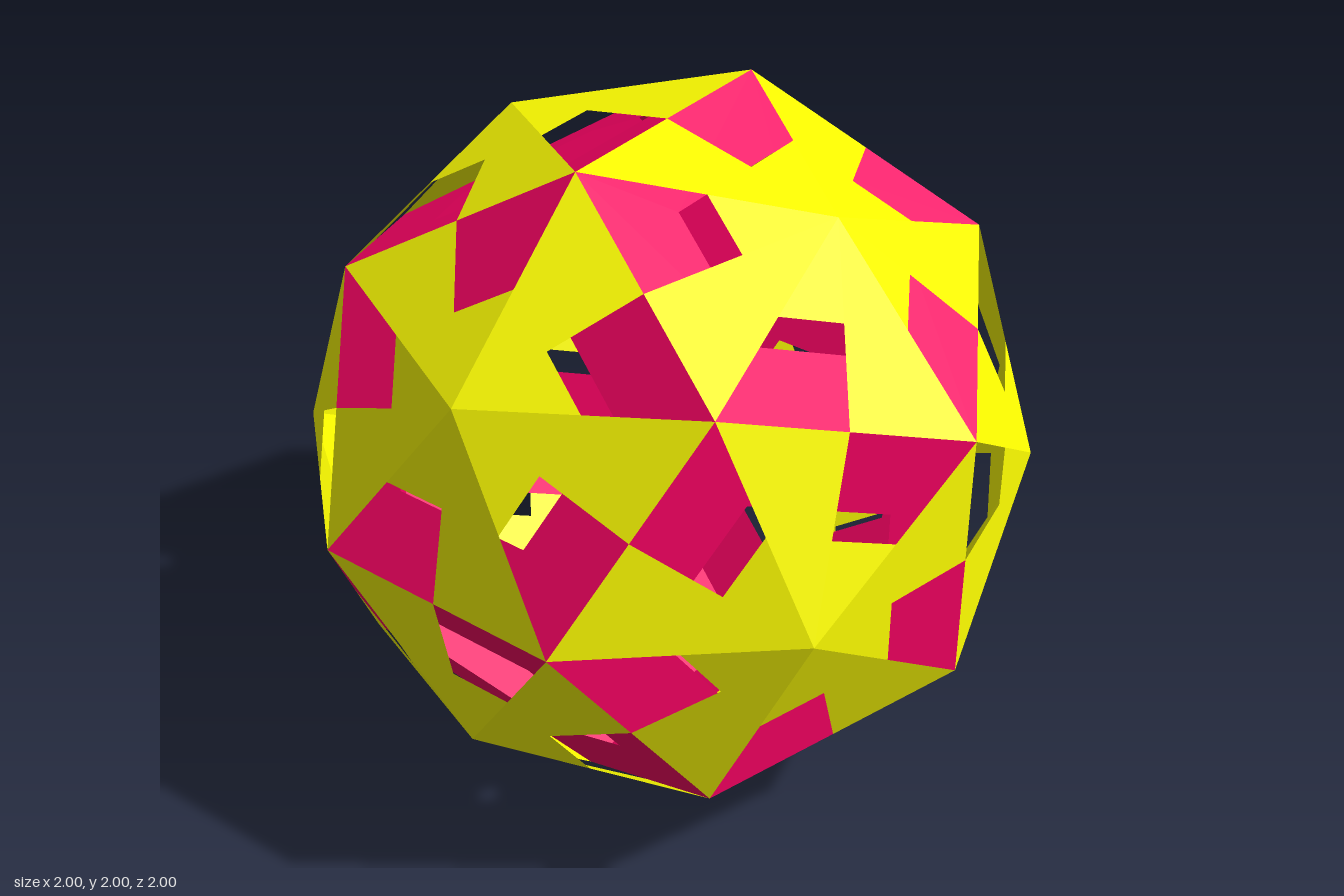
import * as THREE from 'three';

const PHI = (1 + Math.sqrt(5)) / 2;
const APEX_RADIUS = 1.042; // height of the pyramid tips above the centre
const WINDOW = 0.555;      // size of the window relative to its pentagon

// all sign changes and cyclic permutations of (0, a, b)
function cyclicPoints(a, b) {
  const points = [];
  for (const s of [1, -1]) for (const t of [1, -1]) {
    points.push(
      new THREE.Vector3(0, s * a, t * b),
      new THREE.Vector3(s * a, t * b, 0),
      new THREE.Vector3(t * b, 0, s * a));
  }
  return points;
}

// twenty corners of a dodecahedron that fits a cube of side 2
function dodecahedronCorners() {
  const c = 1 / PHI;
  const corners = cyclicPoints(c * c, 1);
  for (const x of [c, -c]) for (const y of [c, -c]) for (const z of [c, -c]) {
    corners.push(new THREE.Vector3(x, y, z));
  }
  return corners;
}

// five corners around an axis, counter-clockwise seen from outside
function pentagonAround(axis, corners) {
  const ring = [...corners].sort((p, q) => q.dot(axis) - p.dot(axis)).slice(0, 5);
  const u = ring[0].clone().addScaledVector(axis, -ring[0].dot(axis)).normalize();
  const v = axis.clone().cross(u);
  const angle = (p) => Math.atan2(p.dot(v), p.dot(u));
  return ring.sort((p, q) => angle(p) - angle(q));
}

function makeMesh(name, triangles, material) {
  const geometry = new THREE.BufferGeometry().setFromPoints(triangles);
  geometry.computeVertexNormals();
  const mesh = new THREE.Mesh(geometry, material);
  mesh.name = name;
  return mesh;
}

export function createModel() {
  const model = new THREE.Group();
  model.name = 'openworkPolyhedron';
  const solid = new THREE.Group();
  solid.name = 'shell';
  solid.position.y = 1;
  model.add(solid);

  const yellow = new THREE.MeshStandardMaterial({ color: 0xffff00, flatShading: true, side: THREE.DoubleSide });
  const pink = new THREE.MeshStandardMaterial({ color: 0xff0066, flatShading: true, side: THREE.DoubleSide });
  const corners = dodecahedronCorners();

  // one pyramid over each of the twelve pentagons
  cyclicPoints(PHI, 1).forEach((direction) => {
    const axis = direction.normalize();
    const ring = pentagonAround(axis, corners);
    const apex = axis.clone().multiplyScalar(APEX_RADIUS);
    const centre = ring.reduce((sum, p) => sum.add(p), new THREE.Vector3()).divideScalar(5);
    const frame = [];
    const pyramid = [];

    ring.forEach((d1, i) => {
      const d2 = ring[(i + 1) % 5];
      const middle = d1.clone().lerp(d2, 0.5);

      // pentagon frame with a central window
      const w1 = centre.clone().lerp(d1, WINDOW);
      const w2 = centre.clone().lerp(d2, WINDOW);
      frame.push(d1, d2, w2, d1, w2, w1);

      // one solid half side, and only the tip of the other half
      pyramid.push(apex, middle, d2);
      pyramid.push(apex, apex.clone().lerp(d1, 0.5), apex.clone().lerp(middle, 0.5));
    });

    solid.add(makeMesh('pentagonFrame', frame, pink));
    solid.add(makeMesh('cutPyramid', pyramid, yellow));
  });

  return model;
}
